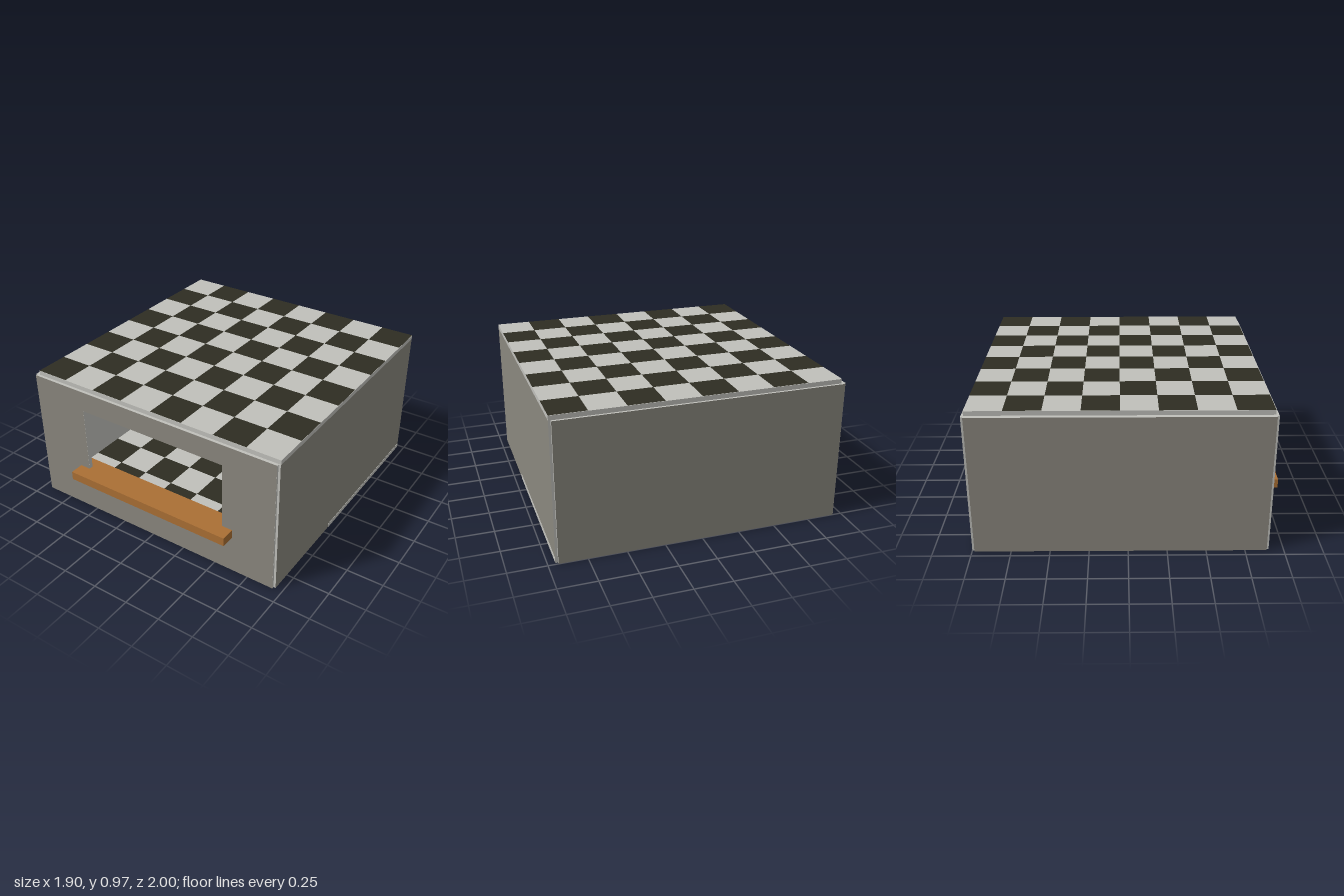
import * as THREE from 'three';

const mat = (name, color) => Object.assign(new THREE.MeshStandardMaterial({ color }), { name });

export function createModel() {
  const light = mat('pale plaster', 0xc0c0bb);
  const wall = mat('grey outer wall', 0x8a877e);
  const dark = mat('dark tile', 0x2e2d22);
  const wood = mat('wood', 0xaa6f34);

  const room = new THREE.Group();
  room.name = 'room';

  // Box given by its limits on each axis
  function box(name, [x0, x1], [y0, y1], [z0, z1], material) {
    const mesh = new THREE.Mesh(new THREE.BoxGeometry(x1 - x0, y1 - y0, z1 - z0), material);
    mesh.position.set((x0 + x1) / 2, (y0 + y1) / 2, (z0 + z1) / 2);
    mesh.name = name;
    room.add(mesh);
    return mesh;
  }

  // Pale on every face except the outer one (face order +x -x +y -y +z -z)
  const outerFace = (face) => Array.from({ length: 6 }, (_, i) => (i === face ? wall : light));

  const height = [0, 0.94];
  const depth = [-0.985, 0.89];
  box('leftWall', [0.92, 0.95], height, depth, outerFace(0));
  box('rightWall', [-0.95, -0.92], height, depth, outerFace(1));
  box('backWall', [-0.94, 0.935], height, [-1, -0.97], outerFace(5));

  // Front wall with a window opening
  const front = new THREE.Shape([
    new THREE.Vector2(-0.94, 0), new THREE.Vector2(0.935, 0),
    new THREE.Vector2(0.935, 0.94), new THREE.Vector2(-0.94, 0.94),
  ]);
  front.holes.push(new THREE.Path([
    new THREE.Vector2(-0.535, 0.3), new THREE.Vector2(-0.535, 0.795),
    new THREE.Vector2(0.56, 0.795), new THREE.Vector2(0.56, 0.3),
  ]));
  const frontWall = new THREE.Mesh(
    new THREE.ExtrudeGeometry(front, { depth: 0.029, bevelEnabled: false }), light);
  frontWall.name = 'frontWall';
  frontWall.position.z = 0.875;
  const frontFace = new THREE.Mesh(new THREE.ShapeGeometry(front), wall);
  frontFace.name = 'frontWallFace';
  frontFace.position.z = 0.905;
  room.add(frontWall, frontFace);

  // Floor and roof slabs, each topped with an 8 by 8 chequered sheet
  function slab(name, y, xMax) {
    box(name, [-0.92, xMax], [y, y + 0.03], [-0.985, 0.885], light);
    const geo = new THREE.PlaneGeometry(xMax + 0.92, 1.87, 8, 8).rotateX(-Math.PI / 2);
    for (let row = 0; row < 8; row++) {
      for (let col = 0; col < 8; col++) {
        geo.addGroup((row * 8 + col) * 6, 6, (row + col) % 2);
      }
    }
    const tiles = new THREE.Mesh(geo, [light, dark]);
    tiles.name = name + 'Tiles';
    tiles.position.set((xMax - 0.92) / 2, y + 0.032, -0.05);
    room.add(tiles);
  }
  slab('floor', 0, 0.949);
  slab('roof', 0.94, 0.95);

  // Floor edge showing at the foot of the side wall
  box('floorEdge', [0.949, 0.952], [0, 0.03], [-0.98, 0.19], light);

  // Wooden sill through the window
  box('windowSill', [-0.61, 0.635], [0.27, 0.33], [0.8, 1], wood);

  return room;
}
